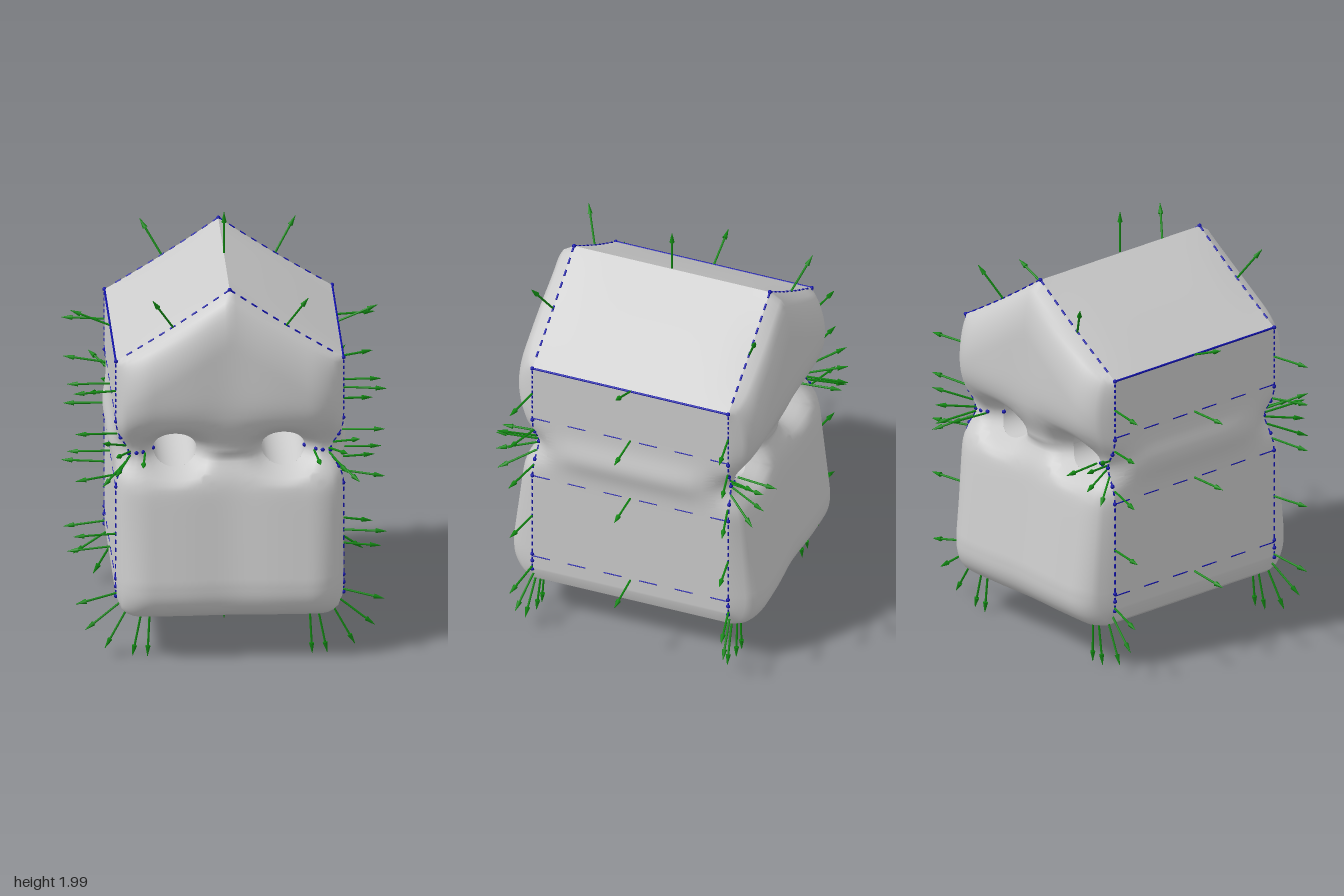
import * as THREE from 'three';
import { toCreasedNormals } from 'three/addons/utils/BufferGeometryUtils.js';

const V = (x, y, z) => new THREE.Vector3(x, y, z);
const clamp = (v) => Math.min(1, Math.max(0, v));
const bell = (v, w) => Math.exp(-((v / w) ** 2));
const HALF = 0.525, SEAM = 0.485, COLS = 21, LOW_ROWS = 50, ROWS = 68;
const HOLE = { x: 0.25, y: 1, rx: 0.1, ry: 0.08 };

const grey = new THREE.MeshStandardMaterial({ color: 0xcccccc, side: THREE.DoubleSide });
const green = new THREE.MeshStandardMaterial({ color: 0x118811 });
const blue = new THREE.MeshStandardMaterial({ color: 0x1111aa });

// House outline: gable on top, rounded corners below
const topY = (x) => {
  const t = Math.abs(x) / HALF;
  return 1.795 - 0.34 * t - 0.008 * Math.sin(Math.PI * t);
};
const bottomY = (x) => {
  const t = clamp((Math.abs(x) - 0.425) / 0.1);
  return 0.205 + 0.1 * (1 - Math.sqrt(1 - t * t));
};
const rounded = (d, r) => Math.sqrt(1 - (1 - clamp(d / r)) ** 2);

// Puffy end wall: two pillows split by a groove, bridged between the holes
function wallZ(x, y) {
  const edge = rounded(HALF - Math.abs(x), 0.16) * rounded(y - bottomY(x), 0.15) * rounded(topY(x) - y, 0.24);
  const puff = y < 1 ? 0.14 - 0.13 * Math.max(0, y - 0.4) : 0.115;
  const groove = 1 - bell(y - 1, y < 1 ? 0.09 : 0.14) * (1 - 0.35 * bell(x, 0.12));
  const r = Math.hypot((Math.abs(x) - HOLE.x) / HOLE.rx, (y - HOLE.y) / HOLE.ry);
  const funnel = 0.07 * clamp((1.9 - r) / 0.9) ** 2;
  return SEAM - 0.01 * bell(y - 1, 0.08) + edge * (puff - 0.015 * bell(x, 0.15)) * groove - funnel;
}

// Point of the end wall at column i, row k
function wallPoint(i, k) {
  const side = Math.sign(i);
  let x = Math.abs(i) * 0.025, y;
  if (k <= LOW_ROWS) {
    y = 0.2 + 0.02 * k;
    if (y < 0.4) y = bottomY(x) + ((y - 0.2) / 0.2) * (0.4 - bottomY(x));
  } else {
    y = 1.2 + ((k - LOW_ROWS) / (ROWS - LOW_ROWS)) * (topY(x) - 1.2);
  }
  // bend the square grid into rings around the hole
  const dx = (x - HOLE.x) / HOLE.rx, dy = (y - HOLE.y) / HOLE.ry;
  const c = Math.max(Math.abs(dx), Math.abs(dy));
  if (c > 0.01 && c < 2) {
    const s = THREE.MathUtils.lerp(1, c / Math.hypot(dx, dy), clamp(2 - c));
    x = HOLE.x + dx * s * HOLE.rx;
    y = HOLE.y + dy * s * HOLE.ry;
  }
  const z = wallZ(x, y);
  // pinch the side edge at groove height
  x -= 0.06 * clamp((x - 0.4) / 0.125) * bell(y - 1, 0.08);
  return V(side * x, y, z);
}

// Grid of points to a surface, leaving out skipped cells
function gridGeometry(nu, nv, point, flip = false, skip = () => false) {
  const pos = [], index = [];
  for (let v = 0; v <= nv; v++) for (let u = 0; u <= nu; u++) pos.push(...point(u, v).toArray());
  for (let v = 0; v < nv; v++) for (let u = 0; u < nu; u++) {
    if (skip(u, v)) continue;
    const a = v * (nu + 1) + u, b = a + 1, d = a + nu + 1, c = d + 1;
    if (flip) index.push(a, c, b, a, d, c);
    else index.push(a, b, c, a, c, d);
  }
  const g = new THREE.BufferGeometry();
  g.setAttribute('position', new THREE.Float32BufferAttribute(pos, 3));
  g.setIndex(index);
  g.computeVertexNormals();
  return g;
}

export function createModel() {
  const model = new THREE.Group();
  const add = (parent, name, geometry, material) => {
    const mesh = new THREE.Mesh(geometry, material);
    mesh.name = name;
    parent.add(mesh);
    return mesh;
  };
  const rod = (parent, name, a, b, r0, r1, material) => {
    const d = b.clone().sub(a);
    const m = add(parent, name, new THREE.CylinderGeometry(r1, r0, d.length(), 8), material);
    m.position.copy(a).addScaledVector(d, 0.5);
    m.quaternion.setFromUnitVectors(V(0, 1, 0), d.normalize());
  };

  // Front and back walls
  const inHole = (u, k) => {
    const x = Math.abs(u - COLS + 0.5) * 0.025, y = 0.2 + 0.02 * (k + 0.5);
    return Math.abs(x - HOLE.x) < HOLE.rx && Math.abs(y - HOLE.y) < HOLE.ry;
  };
  for (const s of [1, -1]) {
    const point = (u, k) => wallPoint(u - COLS, k).multiply(V(1, 1, s));
    add(model, s > 0 ? 'frontWall' : 'backWall', gridGeometry(2 * COLS, ROWS, point, s < 0, inHole), grey);
  }

  // Floor, side walls and roof swept between the two end walls
  const loop = [];
  for (let i = -COLS; i < COLS; i++) loop.push(wallPoint(i, 0));
  for (let k = 0; k < ROWS; k++) loop.push(wallPoint(COLS, k));
  for (let i = COLS; i > -COLS; i--) loop.push(wallPoint(i, ROWS));
  for (let k = ROWS; k >= 0; k--) loop.push(wallPoint(-COLS, k));
  const shellPoint = (u, v) => {
    const p = loop[u].clone(), w = 1 - v / 8, inner = 1 - w ** 6;
    // the roof slopes swell slightly
    if (p.y > 1.456) p.y += 0.012 * inner * Math.sin((Math.PI * Math.abs(p.x)) / HALF);
    p.x += Math.sign(p.x) * 0.085 * bell(p.y - 1, 0.08) * inner;
    p.z *= w;
    return p;
  };
  const shell = gridGeometry(loop.length - 1, 16, shellPoint, true);
  add(model, 'sidesAndRoof', toCreasedNormals(shell, 0.45), grey);

  // Tunnels joining the holes
  for (const s of [1, -1]) {
    const ring = (u, v) => {
      const a = (u / 32) * Math.PI * 2;
      const x = s * HOLE.x + HOLE.rx * Math.cos(a), y = HOLE.y + HOLE.ry * Math.sin(a);
      return V(x, y, wallZ(x, y) * (1 - v / 4));
    };
    add(model, 'tunnel', gridGeometry(32, 8, ring), grey);
  }

  // Blue seams, edge lines and control points
  const lines = new THREE.Group();
  lines.name = 'edgeLines';
  model.add(lines);
  const dashed = (pts, r) => {
    for (let i = 0; i + 1 < pts.length; i += 2) rod(lines, 'dash', pts[i], pts[i + 1], r, r, blue);
  };
  const dot = (p) => add(lines, 'controlPoint', new THREE.SphereGeometry(0.01, 8, 6), blue).position.copy(p);
  for (const sx of [1, -1]) {
    for (const sz of [1, -1]) {
      const m = V(1, 1, sz);
      dashed(Array.from({ length: ROWS }, (_, k) => wallPoint(sx * COLS, k).multiply(m)), 0.004);
      dashed(Array.from({ length: COLS }, (_, i) => wallPoint(sx * i, ROWS).multiply(m)), 0.005);
      for (const k of [0, 5, 9, 32, 36, 40, 44, 48, ROWS]) dot(wallPoint(sx * COLS, k).multiply(m));
      for (const x of [0.35, 0.4, 0.43]) dot(V(sx * x, 1, sz * wallZ(x, 1)));
    }
    const x = sx * HALF;
    rod(lines, 'eaveLine', V(x, 1.455, -SEAM), V(x, 1.455, SEAM), 0.005, 0.005, blue);
    for (const y of [0.38, 0.84, 1.17])
      dashed(Array.from({ length: 12 }, (_, i) => V(x, y, -SEAM + i * 0.0882)), 0.003);
  }
  for (const s of [1, -1]) dot(V(0, 1.795, s * SEAM));

  // Green normal arrows, mirrored left-right and front-back
  const arrows = new THREE.Group();
  arrows.name = 'normalArrows';
  model.add(arrows);
  const arrow = (base, dir) => {
    const d = dir.clone().normalize();
    const neck = base.clone().addScaledVector(d, 0.15), tip = base.clone().addScaledVector(d, 0.2);
    rod(arrows, 'arrowShaft', base, neck, 0.005, 0.005, green);
    rod(arrows, 'arrowHead', neck, tip, 0.012, 0.001, green);
  };
  // each row: base x y z, direction x y z
  const list = [
    [0, 1.8, 0, 0, 1, 0], [0, 0.21, 0, 0, -1, 0], [0.525, 1.455, 0, 0.19, 0.08, 0],
    [0.525, 1.17, 0, 1, 0, 0], [0.525, 0.84, 0, 1, 0, 0], [0.525, 0.37, 0, 1, -0.1, 0],
    [0.26, 1.615, 0.485, 0.1, 0.16, 0.07], [0.525, 1.31, 0.485, 1, 0, 0.17], [0.525, 0.61, 0.485, 1, 0, 0.17],
    [0.52, 1.1, 0.48, 1, 0.08, 0.25], [0.52, 0.9, 0.48, 1, -0.08, 0.25],
    [0.48, 1.04, 0.48, 0.6, 0.35, 0.8], [0.48, 0.96, 0.48, 0.6, -0.35, 0.8],
    [0.46, 1.01, 0.48, 0.4, 0.2, 1], [0.46, 0.99, 0.48, 0.4, -0.2, 1], [0.39, 1, 0.48, 0.1, 0, 1],
    [0.52, 0.32, 0.485, 1, -0.2, 0.2], [0.51, 0.27, 0.485, 0.8, -0.6, 0.15], [0.48, 0.23, 0.485, 0.5, -0.9, 0.08],
    [0.41, 0.21, 0.485, 0.2, -1, 0.05], [0.37, 0.21, 0.485, 0.05, -1, 0.05],
  ];
  for (const [x, y, z, dx, dy, dz] of list)
    for (const sx of x ? [1, -1] : [1]) for (const sz of z ? [1, -1] : [1])
      arrow(V(sx * x, y, sz * z), V(sx * dx, dy, sz * dz));

  return model;
}
